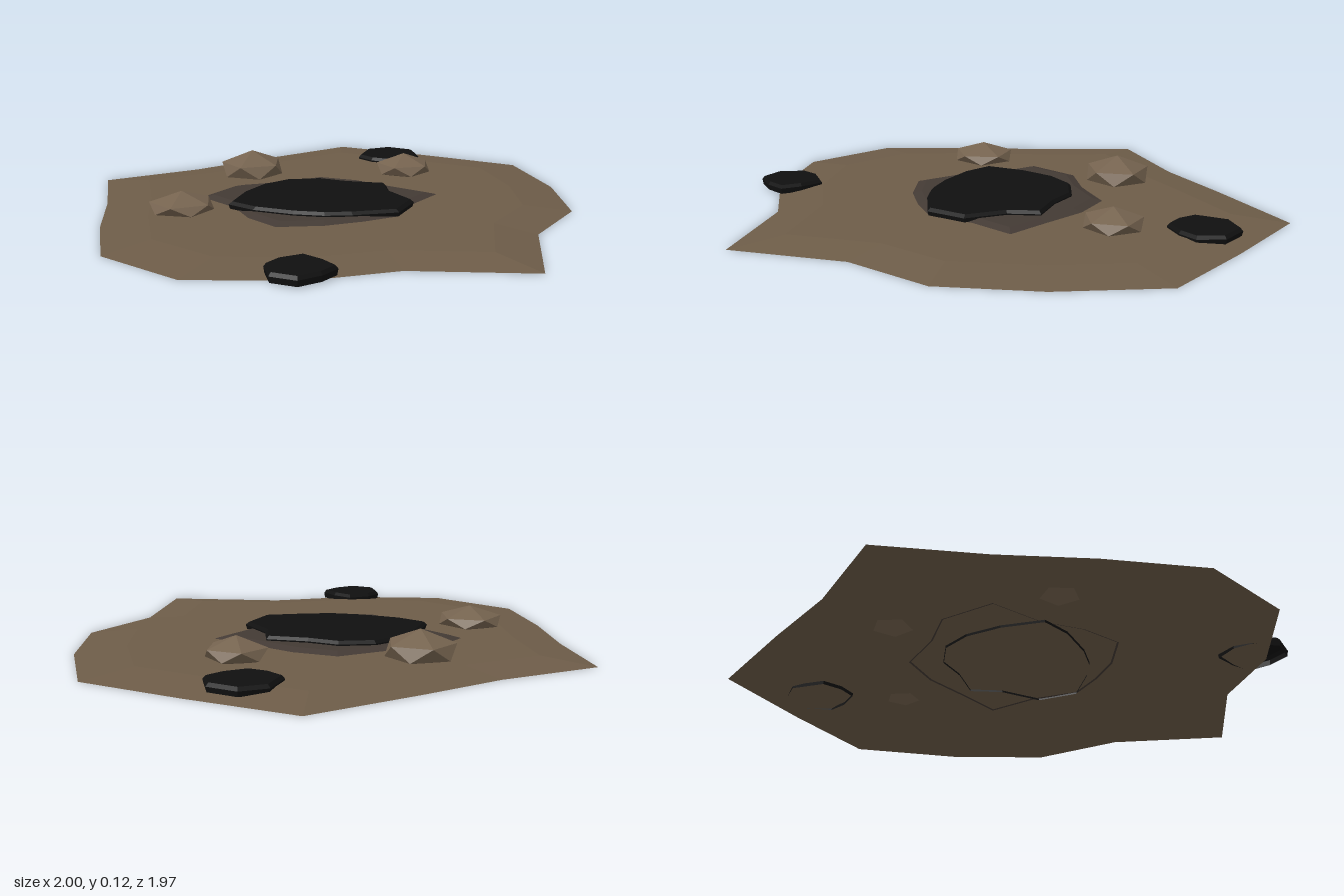
import * as THREE from 'three';

// Outlines as [x, z], clockwise seen from above
const GROUND = [[-0.44, -0.99], [-0.06, -0.91], [0.27, -0.89], [0.7, -0.85], [0.86, -0.47], [1, -0.09],
  [0.82, 0.27], [0.59, 0.56], [0.26, 0.68], [-0.06, 0.98], [-0.37, 0.67], [-0.67, 0.54],
  [-0.95, 0.28], [-1, -0.09], [-0.82, -0.4], [-0.63, -0.67]];
const SCORCH = [[-0.36, -0.45], [-0.16, -0.51], [0, -0.44], [0.19, -0.4], [0.27, -0.25], [0.31, -0.06],
  [0.35, 0.11], [0.17, 0.16], [0.01, 0.25], [-0.13, 0.22], [-0.27, 0.17], [-0.41, 0.07],
  [-0.41, -0.09], [-0.36, -0.24]];
const POOL = [[-0.38, -0.24], [-0.25, -0.33], [-0.12, -0.38], [0, -0.38], [0.11, -0.31], [0.16, -0.2],
  [0.25, -0.08], [0.18, 0.02], [0.15, 0.18], [0.01, 0.25], [-0.14, 0.17], [-0.22, 0.11],
  [-0.29, 0.02], [-0.36, -0.12]];
const RIGHT_PUDDLE = [[-0.77, 0.5], [-0.72, 0.41], [-0.65, 0.39], [-0.56, 0.41], [-0.55, 0.5],
  [-0.56, 0.58], [-0.64, 0.6], [-0.73, 0.59]];
const LEFT_PUDDLE = [[0.53, -0.47], [0.53, -0.55], [0.64, -0.62], [0.74, -0.59], [0.78, -0.48],
  [0.73, -0.39], [0.65, -0.38], [0.56, -0.4]];

function facetedMesh(name, triangles, color) {
  const geometry = new THREE.BufferGeometry();
  geometry.setAttribute('position', new THREE.Float32BufferAttribute(triangles.flat(), 3));
  geometry.computeVertexNormals();
  const material = new THREE.MeshStandardMaterial({ color, flatShading: true, side: THREE.DoubleSide });
  const mesh = new THREE.Mesh(geometry, material);
  mesh.name = name;
  return mesh;
}

// Slab open underneath: levels run from the top down as [scale, y]
function slab(name, outline, levels, color) {
  const n = outline.length;
  const cx = outline.reduce((s, p) => s + p[0], 0) / n;
  const cz = outline.reduce((s, p) => s + p[1], 0) / n;
  const rings = levels.map(([s, y]) => outline.map(([x, z]) => [cx + (x - cx) * s, y, cz + (z - cz) * s]));
  const tris = [];
  for (let i = 0; i < n; i++) {
    const j = (i + 1) % n;
    tris.push([cx, levels[0][1], cz], rings[0][j], rings[0][i]);
    for (let k = 0; k + 1 < rings.length; k++) {
      const a = rings[k], b = rings[k + 1];
      tris.push(a[i], a[j], b[j], a[i], b[j], b[i]);
    }
  }
  return facetedMesh(name, tris, color);
}

// Squat stone: apex, two staggered five-sided rings and a base point
function rock(x, z, radius, height, turn) {
  const ring = (r, y, offset) => Array.from({ length: 5 }, (_, i) => {
    const a = turn + (i + offset) * Math.PI * 2 / 5;
    return [x + Math.cos(a) * r, y, z + Math.sin(a) * r];
  });
  const top = [x, height, z], base = [x, 0.005, z];
  const upper = ring(radius, height * 0.62, 0), lower = ring(radius * 0.98, 0.03, 0.5);
  const tris = [];
  for (let i = 0; i < 5; i++) {
    const j = (i + 1) % 5;
    tris.push(top, upper[j], upper[i], upper[i], upper[j], lower[i]);
    tris.push(lower[i], upper[j], lower[j], base, lower[i], lower[j]);
  }
  return facetedMesh('rock', tris, 0x75634f);
}

export function createModel() {
  const model = new THREE.Group();
  model.name = 'scorchedGround';

  // Earth patch with a sloping rim
  model.add(slab('ground', GROUND, [[0.8, 0.02], [1, 0]], 0x6d5c48));

  // Burnt patch and the dark pool on it
  model.add(slab('scorchedPatch', SCORCH, [[0.88, 0.031], [1, 0.018]], 0x433a34));
  model.add(slab('pool', POOL, [[0.96, 0.047], [1, 0.036], [0.98, 0.012]], 0x101010));

  // Small puddles at the edges
  model.add(slab('rightPuddle', RIGHT_PUDDLE, [[0.92, 0.038], [1, 0.026], [0.97, 0.005]], 0x101010));
  model.add(slab('leftPuddle', LEFT_PUDDLE, [[0.92, 0.038], [1, 0.026], [0.97, 0.008]], 0x101010));

  // Stones around the pool
  const rocks = new THREE.Group();
  rocks.name = 'rocks';
  rocks.add(
    rock(0, -0.6, 0.122, 0.125, 0.1),
    rock(-0.535, -0.31, 0.117, 0.1, 0),
    rock(0.483, -0.225, 0.108, 0.105, 0.15),
  );
  model.add(rocks);
  return model;
}
